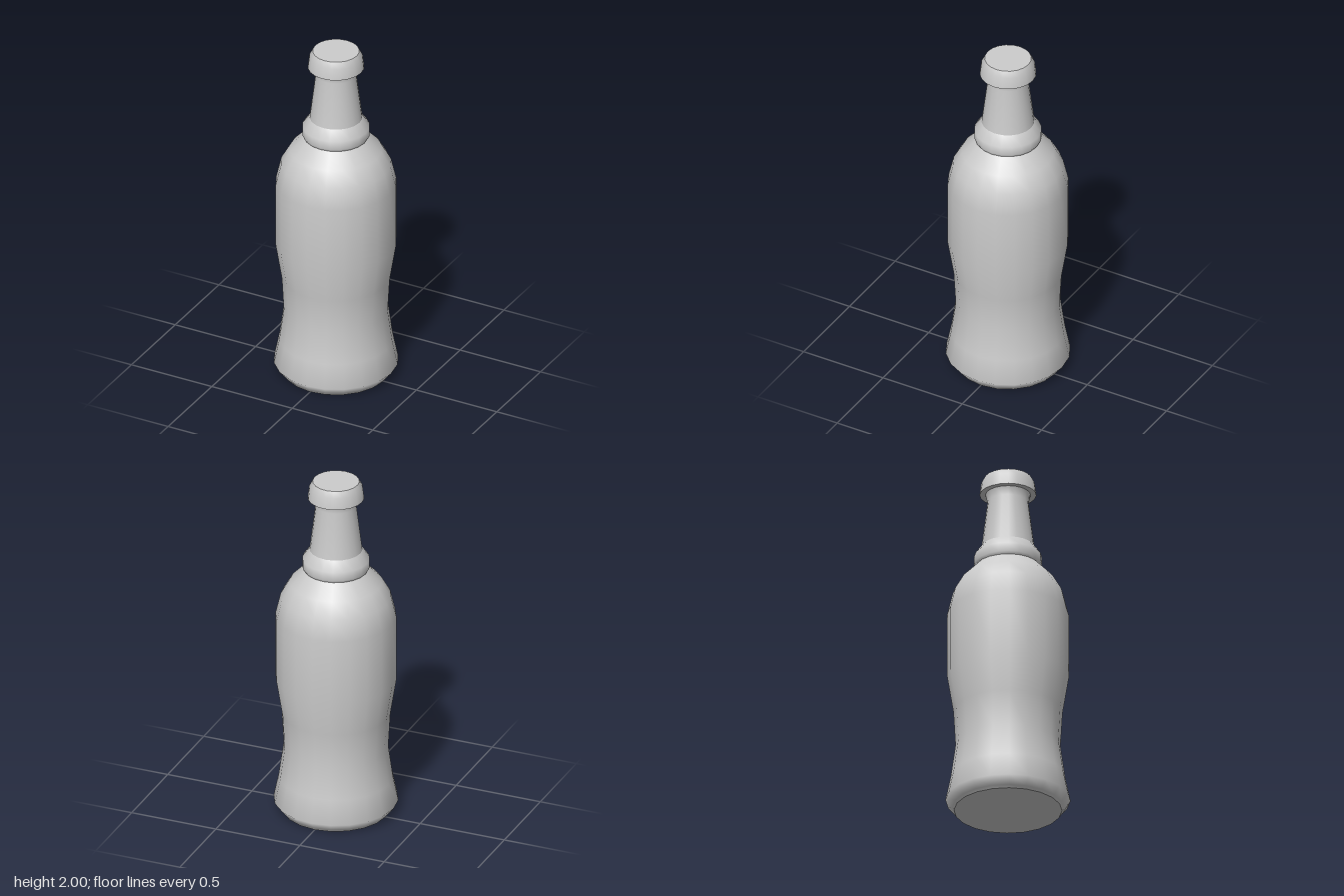
import * as THREE from 'three';

const SIDES = 20;
const material = new THREE.MeshStandardMaterial({ color: 0xcccccc });

// Revolves a [radius, height] profile, listed bottom to top, around y.
function turned(name, profile) {
  const points = profile.map(([r, y]) => new THREE.Vector2(r, y));
  const mesh = new THREE.Mesh(new THREE.LatheGeometry(points, SIDES), material);
  mesh.name = name;
  return mesh;
}

export function createModel() {
  const bottle = new THREE.Group();
  bottle.name = 'bottle';

  // Each part is its own smooth surface, so the seams between them stay sharp.
  bottle.add(
    turned('baseDisc', [[0, 0], [0.295, 0]]),
    turned('body', [
      [0.295, 0], [0.305, 0.015], [0.342, 0.06], [0.313, 0.2], [0.287, 0.39], [0.298, 0.59],
      [0.332, 0.8], [0.332, 1.18], [0.303, 1.3], [0.254, 1.385], [0.176, 1.465],
    ]),
    turned('neckBead', [
      [0.176, 1.465], [0.185, 1.48], [0.185, 1.53], [0.145, 1.585],
    ]),
    turned('neck', [
      [0.145, 1.585], [0.112, 1.855], [0.124, 1.9],
    ]),
    turned('capUnderside', [[0.124, 1.9], [0.155, 1.9]]),
    turned('capSide', [[0.155, 1.9], [0.147, 1.965], [0.128, 2]]),
    turned('capTop', [[0.128, 2], [0, 2]]),
  );
  return bottle;
}
